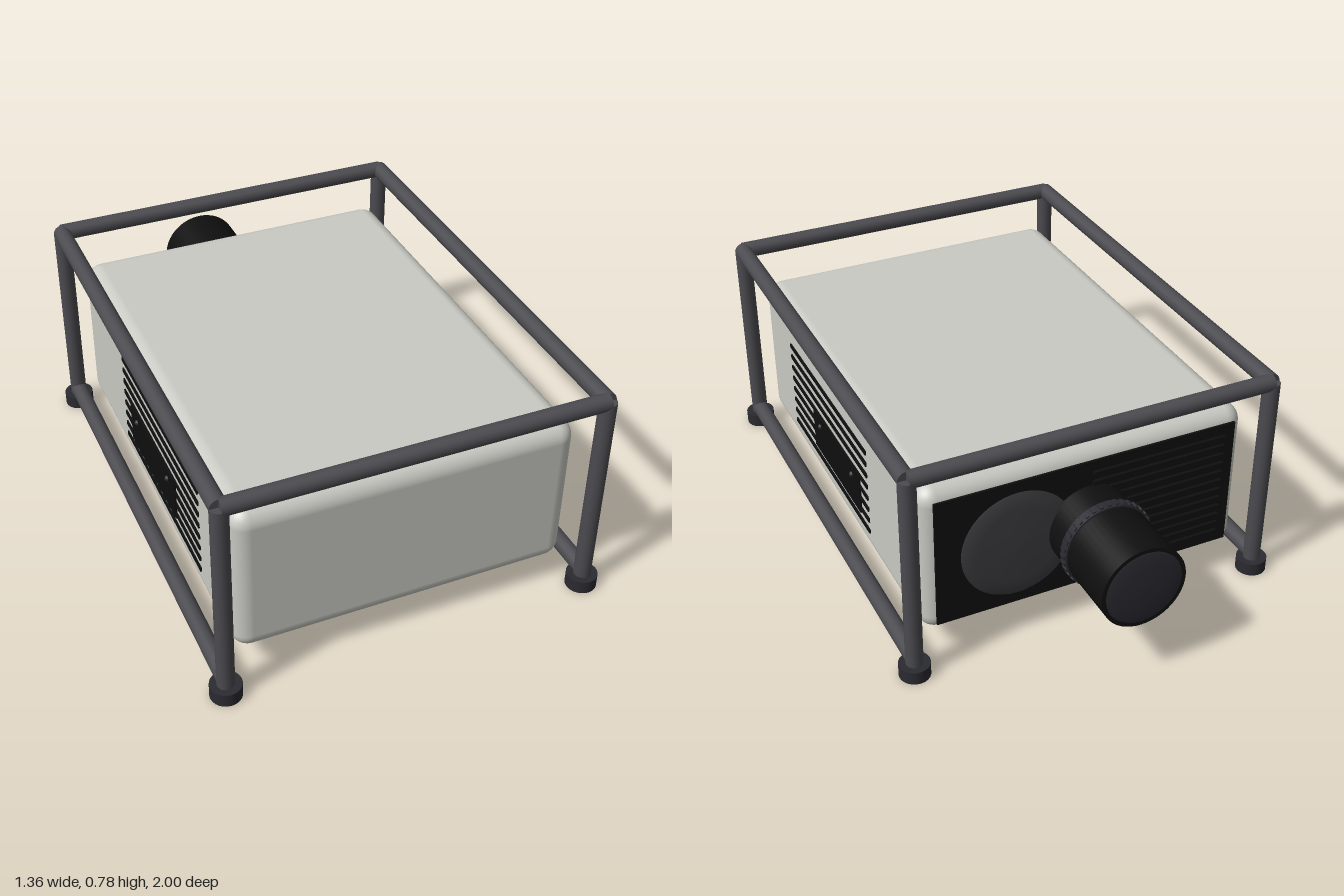
import * as THREE from 'three';
import { RoundedBoxGeometry } from 'three/addons/geometries/RoundedBoxGeometry.js';

const mat = (name, color) => {
  const m = new THREE.MeshStandardMaterial({ color });
  m.name = name;
  return m;
};

export function createModel() {
  const shell = mat('shell grey', 0xc9cac3);
  const frame = mat('frame grey', 0x4b4b50);
  const rubber = mat('dark rubber', 0x2a2a31);
  const black = mat('black', 0x0f0f10);
  const cover = mat('cover grey', 0x3c3c3f);

  const model = new THREE.Group();
  model.name = 'projector';
  const add = (name, geo, material, x = 0, y = 0, z = 0, parent = model) => {
    const mesh = new THREE.Mesh(geo, material);
    mesh.name = name;
    mesh.position.set(x, y, z);
    parent.add(mesh);
    return mesh;
  };
  const box = (w, h, d) => new THREE.BoxGeometry(w, h, d);

  // Housing
  const y0 = 0.095, y1 = 0.643, zBack = -0.625, zFront = 0.9;
  add('housing', new RoundedBoxGeometry(1.146, y1 - y0, zFront - zBack, 6, 0.06), shell,
    0, (y0 + y1) / 2, (zFront + zBack) / 2);

  // Tubular frame: posts, feet, top rails all round, bottom rails on the sides
  const px = 0.627, pzF = 0.948, pzB = -0.67, r = 0.029;
  const tube = (name, a, b) => {
    const from = new THREE.Vector3(...a), to = new THREE.Vector3(...b);
    const dir = to.clone().sub(from);
    const mesh = add(name, new THREE.CylinderGeometry(r, r, dir.length(), 16), frame);
    mesh.position.copy(from).add(to).multiplyScalar(0.5);
    mesh.quaternion.setFromUnitVectors(new THREE.Vector3(0, 1, 0), dir.normalize());
  };
  for (const s of [-1, 1]) {
    for (const z of [pzF, pzB]) {
      tube('post', [s * px, 0.02, z], [s * px, 0.75, z]);
      add('foot', new THREE.CylinderGeometry(0.052, 0.052, 0.047, 24), rubber, s * px, 0.0235, z);
    }
    tube('sideTopRail', [s * px, 0.75, pzB], [s * px, 0.75, pzF]);
    tube('sideBottomRail', [s * px, 0.066, pzB], [s * px, 0.066, pzF]);
  }
  for (const z of [pzF, pzB]) tube('crossTopRail', [-px, 0.75, z], [px, 0.75, z]);

  // Side vents, connector plates and knobs
  for (const s of [-1, 1]) {
    const side = new THREE.Group();
    side.name = s > 0 ? 'leftSideDetails' : 'rightSideDetails';
    model.add(side);
    for (let i = 0; i < 8; i++) {
      add('ventSlot', box(0.009, 0.016, 0.765), black, s * 0.5735, 0.513 - i * 0.0457, 0.218, side);
    }
    add('connectorPlate', box(0.009, 0.16, 0.46), black, s * 0.575, 0.302, 0.14, side);
    for (const z of [0.3, -0.02]) {
      add('knob', new THREE.SphereGeometry(0.011, 12, 8), rubber, s * 0.578, 0.339, z, side);
    }
  }

  // Black rear panel with louvres
  const cy = 0.368;
  add('rearPanel', box(1.06, 0.47, 0.008), black, 0, cy, zBack - 0.003);
  for (let i = 0; i < 12; i++) {
    add('rearLouvre', box(0.48, 0.016, 0.012), black, -0.25, 0.178 + i * 0.0345, zBack - 0.012);
  }

  // Turned parts share one helper: profile points are [radius, distance backwards]
  const turned = (name, pts, material, x, z) => {
    const geo = new THREE.LatheGeometry(pts.map(p => new THREE.Vector2(...p)), 48);
    geo.rotateX(-Math.PI / 2);
    return add(name, geo, material, x, cy, z);
  };
  turned('roundCover', [[0.195, 0], [0.195, 0.012], [0.14, 0.018], [0, 0.021]], cover, 0.25, zBack);

  // Lens barrel, knurled ring and domed glass
  const barrel = add('lensBarrel', new THREE.CylinderGeometry(0.145, 0.145, 0.37, 48), black, 0, cy, -0.805);
  barrel.rotation.x = Math.PI / 2;
  const ring = add('focusRing', new THREE.CylinderGeometry(0.151, 0.151, 0.036, 48), rubber, 0, cy, -0.75);
  ring.rotation.x = Math.PI / 2;
  for (let i = 0; i < 36; i++) {
    const a = i / 36 * Math.PI * 2;
    const rib = add('ringRib', box(0.012, 0.012, 0.026), rubber,
      Math.cos(a) * 0.15, cy + Math.sin(a) * 0.15, -0.75);
    rib.rotation.z = a;
  }
  turned('lensGlass', [[0.132, 0], [0.125, 0.003], [0.09, 0.007], [0.045, 0.0095], [0, 0.0105]],
    rubber, 0, -0.9895);

  return model;
}
